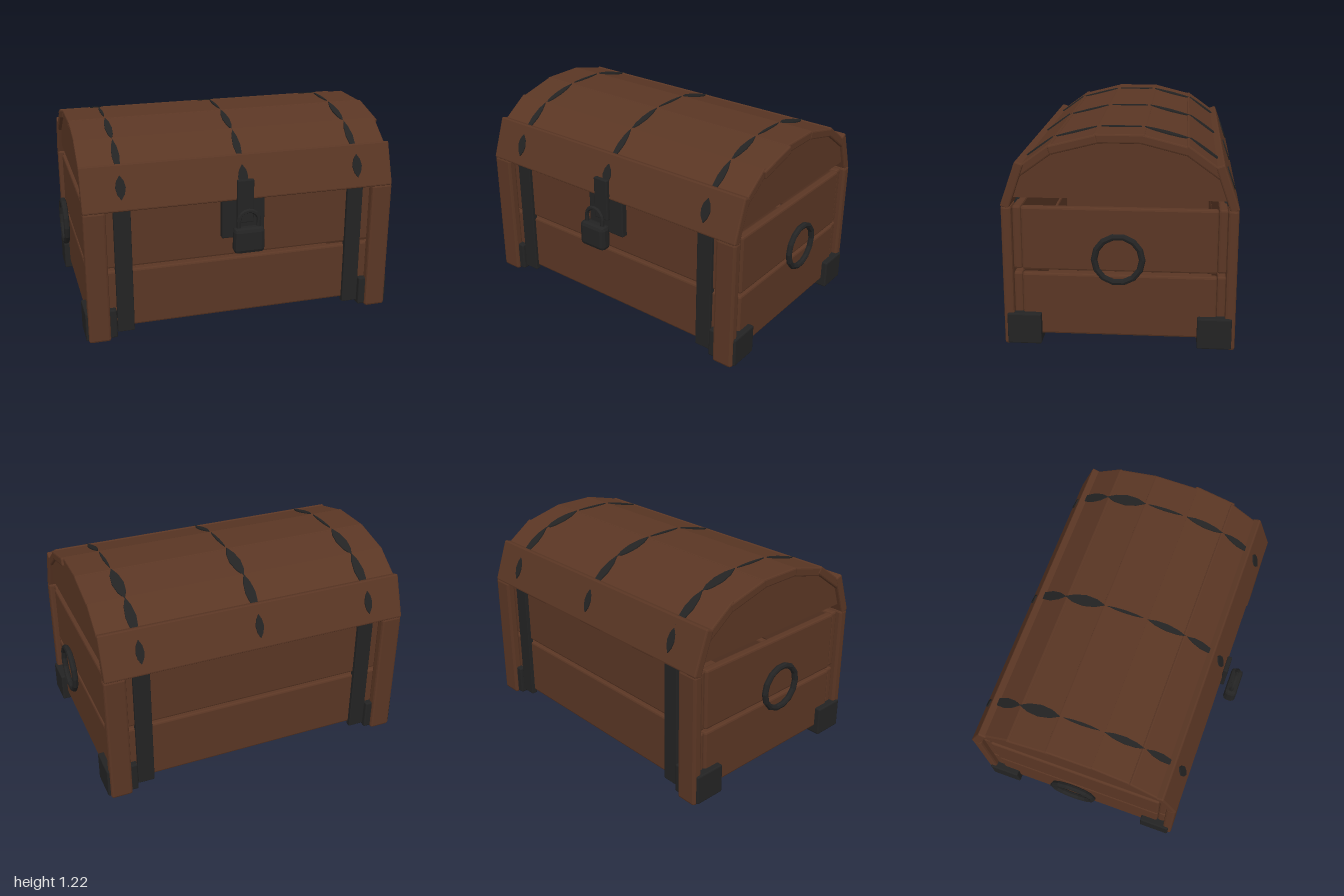
import * as THREE from 'three';
import { RoundedBoxGeometry } from 'three/addons/geometries/RoundedBoxGeometry.js';

export function createModel() {
  const wood = new THREE.MeshStandardMaterial({ color: 0x5a3624 });
  wood.name = 'brown wood';
  const iron = new THREE.MeshStandardMaterial({ color: 0x232323 });
  iron.name = 'dark iron';

  const model = new THREE.Group();
  model.name = 'treasureChest';

  // the chest is centred a little behind the origin, the lock hangs in front
  const chest = new THREE.Group();
  chest.name = 'chest';
  chest.position.z = -0.053;
  model.add(chest);

  const flat = (geo) => {
    const g = geo.index ? geo.toNonIndexed() : geo;
    g.computeVertexNormals();
    return g;
  };
  function add(parent, name, geo, mat, x = 0, y = 0, z = 0) {
    const m = new THREE.Mesh(flat(geo), mat);
    m.name = name;
    m.position.set(x, y, z);
    parent.add(m);
    return m;
  }
  // box with chamfered edges, given by its limits
  function block(parent, name, mat, x0, x1, y0, y1, z0, z1, r = 0.01) {
    const geo = new RoundedBoxGeometry(x1 - x0, y1 - y0, z1 - z0, 1, r);
    return add(parent, name, geo, mat, (x0 + x1) / 2, (y0 + y1) / 2, (z0 + z1) / 2);
  }
  const mirrored = (s, a, b) => (s > 0 ? [a, b] : [-b, -a]);

  // floor
  block(chest, 'floor', wood, -0.9, 0.9, 0.062, 0.1, -0.56, 0.56, 0.005);

  // wall planks, two rows with a narrow gap
  for (const [y0, y1] of [[0.06, 0.422], [0.441, 0.805]]) {
    for (const s of [-1, 1]) {
      block(chest, 'longPlank', wood, -0.91, 0.91, y0, y1, ...mirrored(s, 0.541, 0.59), 0.012);
      block(chest, 'endPlank', wood, ...mirrored(s, 0.87, 0.92), y0, y1, -0.54, 0.54, 0.012);
    }
  }

  // corner posts, iron feet and upright straps
  for (const sx of [-1, 1]) {
    for (const sz of [-1, 1]) {
      block(chest, 'cornerPost', wood, ...mirrored(sx, 0.812, 0.942), 0, 0.812, ...mirrored(sz, 0.588, 0.647), 0.014);
      block(chest, 'cornerFoot', iron, ...mirrored(sx, 0.77, 0.956), 0.01, 0.19, ...mirrored(sz, 0.435, 0.627), 0.008);
      block(chest, 'uprightStrap', iron, ...mirrored(sx, 0.665, 0.765), 0.036, 0.81, ...mirrored(sz, 0.575, 0.612), 0.004);
    }
    // ring handles
    const ring = add(chest, 'ringHandle', new THREE.TorusGeometry(0.131, 0.018, 8, 14), iron, sx * 0.982, 0.535, 0);
    ring.rotation.y = Math.PI / 2;
  }

  // pointed iron plate lying on a lid plank
  function lensGeometry(w, l) {
    const pts = [[0, -l / 2], [w * 0.35, -l * 0.28], [w / 2, 0], [w * 0.35, l * 0.28],
      [0, l / 2], [-w * 0.35, l * 0.28], [-w / 2, 0], [-w * 0.35, -l * 0.28]];
    const shape = new THREE.Shape(pts.map((p) => new THREE.Vector2(...p)));
    return new THREE.ExtrudeGeometry(shape, { depth: 0.008, bevelEnabled: false }).rotateX(-Math.PI / 2);
  }

  // lid planks: outer edge from a to b (z, y), back to front
  const lid = new THREE.Group();
  lid.name = 'lid';
  chest.add(lid);
  function lidPlank([az, ay], [bz, by], x0, x1, lensWidth, lensPart) {
    const len = Math.hypot(bz - az, by - ay);
    const thick = 0.052;
    const plank = new THREE.Group();
    plank.name = 'lidPlank';
    plank.position.set(0, (ay + by) / 2, (az + bz) / 2);
    plank.rotation.x = Math.atan2(ay - by, bz - az);
    lid.add(plank);
    block(plank, 'lidBoard', wood, x0, x1, -thick, 0, -len / 2, len / 2, 0.009);
    for (const x of [-0.717, 0, 0.717]) {
      add(plank, 'lidStrap', lensGeometry(lensWidth, len * lensPart), iron, x, -0.001, 0);
    }
  }
  const top = [0.14, 1.216];
  const upper = [[0.125, 1.216], [0.385, 1.15]];
  const middle = [[0.365, 1.165], [0.585, 1.005]];
  const lower = [[0.562, 1.063], [0.651, 0.81]];
  const back = ([a, b]) => [[-b[0], b[1]], [-a[0], a[1]]];
  lidPlank([-top[0], top[1]], top, -0.938, 0.93, 0.018, 0.8);
  lidPlank(...upper, -0.935, 0.944, 0.042, 0.92);
  lidPlank(...middle, -0.938, 0.93, 0.044, 0.85);
  lidPlank(...lower, -0.942, 0.94, 0.06, 0.52);
  lidPlank(...back(upper), -0.94, 0.932, 0.07, 0.98);
  lidPlank(...back(middle), -0.936, 0.932, 0.062, 0.9);
  lidPlank(...back(lower), -0.942, 0.936, 0.05, 0.52);

  // arched lid ends
  const half = [[0.585, 0.857], [0.52, 1.02], [0.37, 1.125], [0.13, 1.18]];
  const outline = [...half, ...half.map(([z, y]) => [-z, y]).reverse()];
  const endShape = new THREE.Shape(outline.map((p) => new THREE.Vector2(...p)));
  for (const s of [-1, 1]) {
    const geo = new THREE.ExtrudeGeometry(endShape, { depth: 0.04, bevelEnabled: false });
    geo.translate(0, 0, -0.02).rotateY(-Math.PI / 2);
    add(lid, 'lidEnd', geo, wood, s * 0.895);
  }

  // lock plate, hasp and padlock
  const lock = new THREE.Group();
  lock.name = 'lock';
  model.add(lock);
  block(lock, 'lockPlate', iron, -0.13, 0.13, 0.568, 0.83, 0.53, 0.575, 0.006);
  block(lock, 'hasp', iron, -0.05, 0.05, 0.672, 0.935, 0.59, 0.618, 0.006);
  block(lock, 'padlockBody', iron, -0.092, 0.092, 0.514, 0.67, 0.636, 0.712, 0.024);
  add(lock, 'shackleArch', new THREE.TorusGeometry(0.06, 0.013, 6, 8, Math.PI), iron, 0, 0.708, 0.674);
  for (const s of [-1, 1]) {
    add(lock, 'shackleLeg', new THREE.CylinderGeometry(0.013, 0.013, 0.06, 6), iron, s * 0.06, 0.678, 0.674);
  }

  return model;
}
